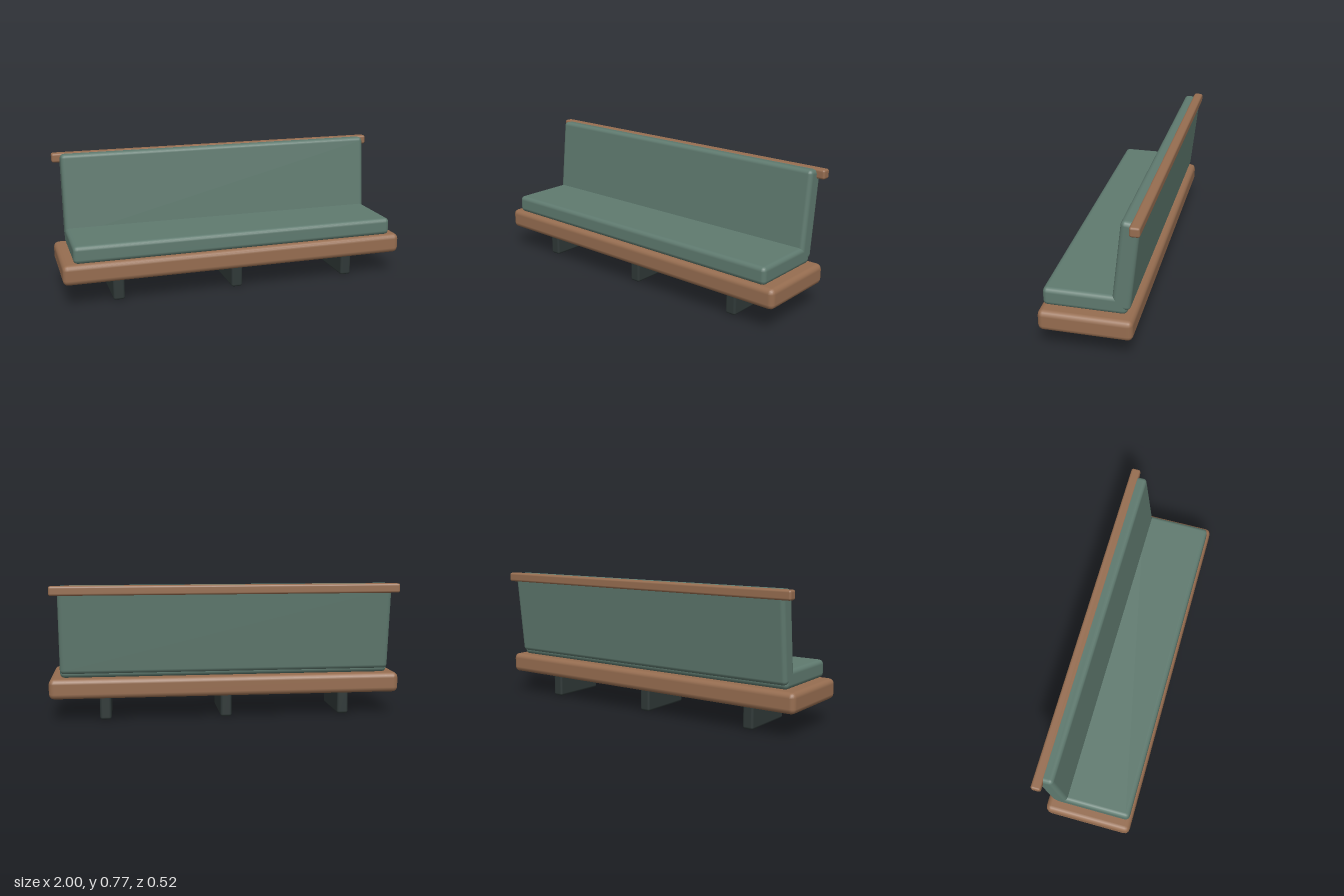
import * as THREE from 'three';
import { RoundedBoxGeometry } from 'three/addons/geometries/RoundedBoxGeometry.js';

function material(name, color) {
  const m = new THREE.MeshStandardMaterial({ color });
  m.name = name;
  return m;
}

export function createModel() {
  const model = new THREE.Group();
  model.name = 'bench';

  const wood = material('wood', 0x966d50);
  const fabric = material('green upholstery', 0x5f7a6f);
  const metal = material('dark metal', 0x2f3837);

  // Soft-edged block from its size and centre
  function block(name, mat, size, centre, radius) {
    const mesh = new THREE.Mesh(new RoundedBoxGeometry(...size, 2, radius), mat);
    mesh.name = name;
    mesh.position.set(...centre);
    model.add(mesh);
    return mesh;
  }

  // Three plate legs under the base
  [['rightLeg', -0.69], ['middleLeg', 0], ['leftLeg', 0.69]].forEach(([name, x]) =>
    block(name, metal, [0.065, 0.16, 0.341], [x, 0.08, 0.017], 0.014));

  // Wooden base
  block('base', wood, [2, 0.115, 0.492], [0, 0.193, 0.016], 0.03);

  // Seat cushion
  block('seatCushion', fabric, [1.876, 0.1, 0.437], [0, 0.3, 0.0295], 0.025);

  // Backrest cushion, leaning back
  const back = block('backrestCushion', fabric, [1.876, 0.493, 0.098], [0, 0.522, -0.18], 0.024);
  back.rotation.x = -0.106;

  // Top rail behind the backrest
  block('topRail', wood, [1.965, 0.053, 0.054], [0, 0.7435, -0.235], 0.012);

  return model;
}
